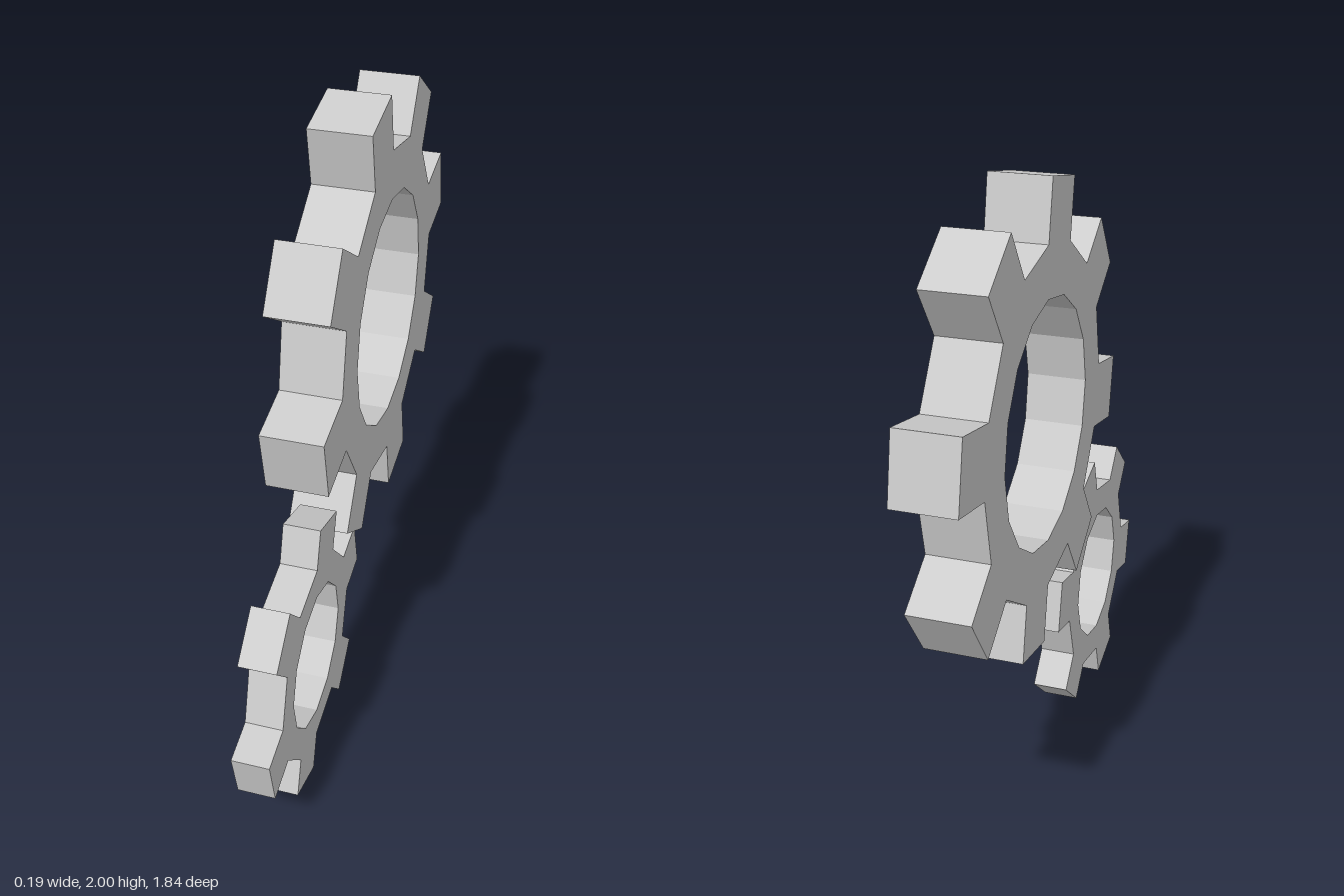
import * as THREE from 'three';

const material = new THREE.MeshStandardMaterial({ color: 0xcccccc, flatShading: true });

// Spur gear in the YZ plane: every other side of a polygonal ring carries a straight block tooth.
function makeGear({ name, teeth, holeRadius, rootRadius, toothHeight, width, phase, y, z }) {
  const sides = teeth * 2;
  const step = (Math.PI * 2) / sides;
  const polar = (radius, angle) => new THREE.Vector2(Math.cos(angle) * radius, Math.sin(angle) * radius);

  const outline = [];
  const bore = [];
  for (let i = 0; i < sides; i++) {
    const angle = phase + i * step;
    const root = polar(rootRadius, angle);
    bore.push(polar(holeRadius, angle));
    if (i % 2 === 0) {
      // leading flank
      outline.push(root, root.clone().add(polar(toothHeight, angle + step / 2)));
    } else {
      // trailing flank
      outline.push(root.clone().add(polar(toothHeight, angle - step / 2)), root);
    }
  }

  const shape = new THREE.Shape(outline);
  shape.holes.push(new THREE.Path(bore.reverse()));
  const geometry = new THREE.ExtrudeGeometry(shape, { depth: width, bevelEnabled: false });
  geometry.translate(0, 0, -width / 2);
  geometry.rotateY(Math.PI / 2);

  const gear = new THREE.Mesh(geometry, material);
  gear.name = name;
  gear.position.set(0, y, z);
  return gear;
}

export function createModel() {
  const model = new THREE.Group();
  model.name = 'gearPair';

  model.add(
    makeGear({
      name: 'largeGear', teeth: 8, holeRadius: 0.372, rootRadius: 0.525, toothHeight: 0.182,
      width: 0.187, phase: 0, y: 1.297, z: -0.213,
    }),
    makeGear({
      name: 'smallGear', teeth: 6, holeRadius: 0.23, rootRadius: 0.33, toothHeight: 0.126,
      width: 0.115, phase: THREE.MathUtils.degToRad(-2.5 - 60 * 2 + 60 * 3), y: 0.45, z: 0.467,
    }),
  );

  return model;
}
